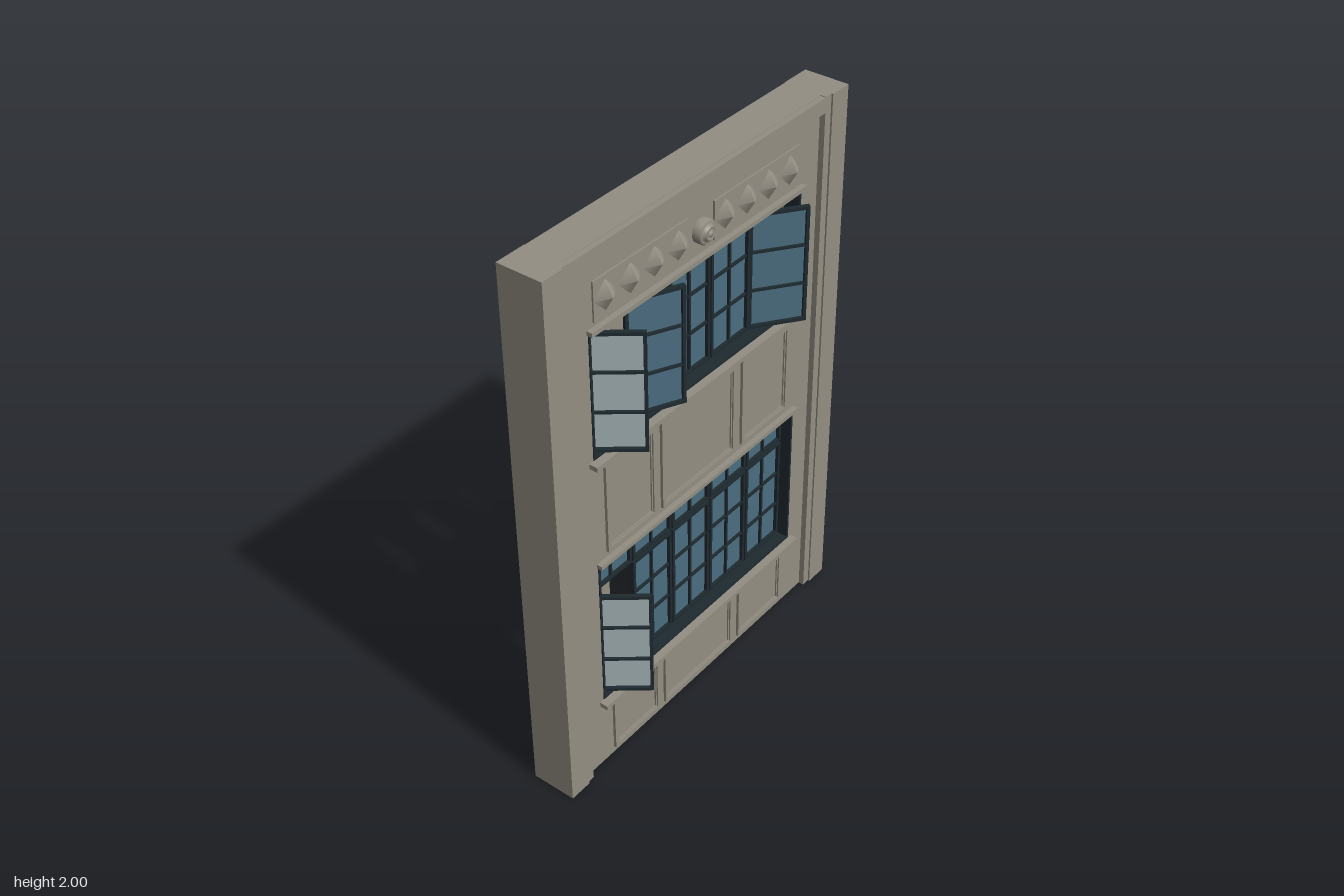
import * as THREE from 'three';

const mat = (name, color) => {
  const m = new THREE.MeshStandardMaterial({ color });
  m.name = name;
  return m;
};

export function createModel() {
  const stone = mat('stone', 0x948e83);
  const glass = mat('blueGlass', 0x4b6d80);
  const paleGlass = mat('paleGlass', 0xa3b1b3);
  const metal = mat('darkMetal', 0x1e2a30);
  const root = new THREE.Group();
  root.name = 'windowBay';

  const add = (parent, name, geo, m) => {
    const mesh = new THREE.Mesh(geo, m);
    mesh.name = name;
    parent.add(mesh);
    return mesh;
  };
  // Box given by its limits
  const box = (parent, name, m, x0, x1, y0, y1, z0, z1) => {
    const b = add(parent, name, new THREE.BoxGeometry(x1 - x0, y1 - y0, z1 - z0), m);
    b.position.set((x0 + x1) / 2, (y0 + y1) / 2, (z0 + z1) / 2);
    return b;
  };
  const rect = (C, x0, x1, y0, y1) => {
    const s = new C();
    s.moveTo(x0, y0); s.lineTo(x1, y0); s.lineTo(x1, y1); s.lineTo(x0, y1); s.closePath();
    return s;
  };
  // Rectangular ring of width t
  const ring = (parent, name, m, x0, x1, y0, y1, t, z0, z1) => {
    const s = rect(THREE.Shape, x0, x1, y0, y1);
    s.holes.push(rect(THREE.Path, x0 + t, x1 - t, y0 + t, y1 - t));
    const r = add(parent, name, new THREE.ExtrudeGeometry(s, { depth: z1 - z0, bevelEnabled: false }), m);
    r.position.z = z0;
    return r;
  };

  const FACE = 0.015, BACK = -0.12, HALF = 0.512;
  const upper = [1.27, 1.712], lower = [0.283, 0.85];

  // Wall with two window openings
  const wall = rect(THREE.Shape, -0.6, 0.6, 0, 2);
  for (const [y0, y1] of [upper, lower]) wall.holes.push(rect(THREE.Path, -HALF, HALF, y0, y1));
  add(root, 'wall', new THREE.ExtrudeGeometry(wall, { depth: FACE - BACK, bevelEnabled: false }), stone).position.z = BACK;

  // Piers with a stepped inner edge, and the top band
  for (const s of [-1, 1]) {
    const side = (name, a, b, z1) => box(root, name, stone, Math.min(s * a, s * b), Math.max(s * a, s * b), 0, 2, -0.122, z1);
    side('pier', 0.63, 0.713, 0.041);
    side('pierStep', 0.6, 0.63, 0.035);
  }
  box(root, 'topBand', stone, -0.6, 0.6, 1.945, 1.998, FACE - 0.005, 0.035);

  // Sills, hoods and outer window frames
  for (const [name, [y0, y1]] of [['upper', upper], ['lower', lower]]) {
    box(root, name + 'Sill', stone, -0.53, 0.53, y0 - 0.02, y0 - 0.003, FACE - 0.005, 0.045);
    box(root, name + 'Hood', stone, -0.517, 0.517, y1 + 0.003, y1 + 0.018, FACE - 0.005, 0.035);
    ring(root, name + 'Frame', metal, -HALF, HALF, y0, y1, 0.009, -0.04, FACE + 0.003);
  }

  // One glazed sash, hinged on its left edge
  const sash = (name, x, w, y0, y1, cols, rows, angle, pane) => {
    const g = new THREE.Group();
    g.name = name;
    box(g, 'pane', pane, 0.006, w - 0.006, y0 + 0.006, y1 - 0.006, -0.006, 0);
    ring(g, 'sashFrame', metal, 0, w, y0, y1, 0.011, -0.004, 0.012);
    for (let i = 1; i < cols; i++) {
      const c = (w * i) / cols;
      box(g, 'uprightBar', metal, c - 0.004, c + 0.004, y0, y1, -0.002, 0.009);
    }
    for (let i = 1; i < rows; i++) {
      const c = y0 + ((y1 - y0) * i) / rows;
      box(g, 'crossBar', metal, 0, w, c - 0.004, c + 0.004, -0.002, 0.009);
    }
    g.position.set(x, 0, -0.034);
    g.rotation.y = -THREE.MathUtils.degToRad(angle);
    root.add(g);
  };

  // Five bays per window; open bays have a panel at the back of the wall
  const PITCH = 0.2022, W = 0.196;
  const openUpper = { 0: 51, 1: 26, 4: 36 }, openLower = { 0: 51 };
  for (let i = 0; i < 5; i++) {
    const x = -0.5025 + i * PITCH;
    const bay = (name, y0, y1, open) => {
      const angle = open[i] || 0;
      sash(name, x, W, y0, y1, angle ? 1 : 2, 3, angle, angle > 45 ? paleGlass : glass);
      if (angle) box(root, 'backPanel', stone, x + 0.002, x + 0.192, y0 + 0.004, y1 - 0.004, -0.124, -0.118);
    };
    bay('upperSash', 1.28, 1.703, openUpper);
    bay('lowerSash', 0.293, 0.704, openLower);
    sash('transomLight', x, W, 0.712, 0.841, 2, 1, 0, glass);
  }

  // Framed wall panels below each window
  for (const [y0, y1] of [[0.89, 1.23], [0.025, 0.252]]) {
    for (const [x0, x1] of [[-0.47, -0.233], [-0.203, 0.175], [0.21, 0.465]]) {
      ring(root, 'panelMoulding', stone, x0, x1, y0, y1, 0.014, FACE - 0.004, FACE + 0.01);
      ring(root, 'panelInnerMoulding', stone, x0 + 0.014, x1 - 0.014, y0 + 0.014, y1 - 0.014, 0.005, FACE - 0.004, FACE + 0.005);
    }
  }

  // Plaques with four pointed studs each
  const stud = new THREE.ConeGeometry(0.053, 0.03, 4).rotateX(Math.PI / 2);
  for (const s of [-1, 1]) {
    box(root, 'plaque', stone, s * 0.275 - 0.215, s * 0.275 + 0.215, 1.745, 1.88, FACE - 0.004, FACE + 0.006);
    for (let i = 0; i < 4; i++) {
      add(root, 'stud', stud, stone).position.set(s * (0.112 + i * 0.109), 1.813, FACE + 0.02);
    }
  }

  // Round boss between the plaques
  const profile = [[0.041, 0], [0.041, 0.025], [0.034, 0.032], [0.027, 0.026], [0.024, 0.038], [0.018, 0.042], [0.015, 0.034], [0.01, 0.042], [0, 0.044]];
  const boss = new THREE.LatheGeometry(profile.map(([r, h]) => new THREE.Vector2(r, h)), 24).rotateX(Math.PI / 2);
  const bossMat = mat('bossStone', 0x948e83);
  bossMat.side = THREE.DoubleSide;
  add(root, 'boss', boss, bossMat).position.set(0, 1.81, FACE - 0.001);

  return root;
}
